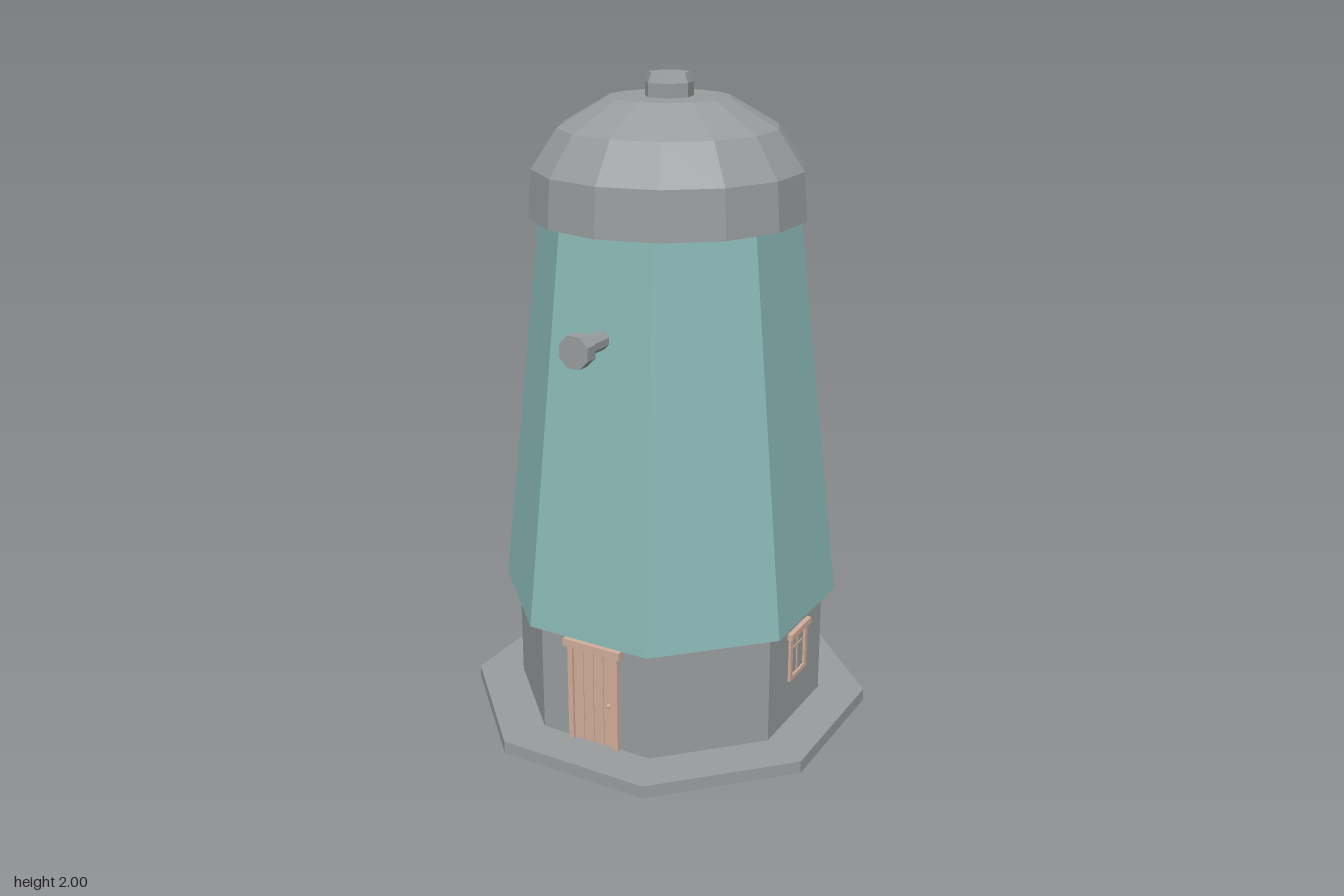
import * as THREE from 'three';

const mat = (name, color) => {
  const m = new THREE.MeshStandardMaterial({ color, flatShading: true });
  m.name = name;
  return m;
};

export function createModel() {
  const stone = mat('grey stone', 0x989c9c);
  const teal = mat('teal cladding', 0x88b7b4);
  const wood = mat('pale wood', 0xd0ad9a);
  const model = new THREE.Group();
  model.name = 'tower';

  const add = (parent, name, geometry, material) => {
    const mesh = new THREE.Mesh(geometry, material);
    mesh.name = name;
    parent.add(mesh);
    return mesh;
  };
  const box = (parent, name, x0, x1, y0, y1, z0, z1) =>
    add(parent, name, new THREE.BoxGeometry(x1 - x0, y1 - y0, z1 - z0)
      .translate((x0 + x1) / 2, (y0 + y1) / 2, (z0 + z1) / 2), wood);
  // Octagonal tier, sized by the distance from the axis to its flats
  const tier = (name, bottom, top, y0, y1, material) => {
    const k = 1 / Math.cos(Math.PI / 8);
    add(model, name, new THREE.CylinderGeometry(top * k, bottom * k, y1 - y0, 8)
      .rotateY(Math.PI / 8).translate(0, (y0 + y1) / 2, 0), material);
  };
  const lathe = (name, profile, sides) =>
    add(model, name, new THREE.LatheGeometry(profile.map(p => new THREE.Vector2(...p)), sides), stone);

  // Tower body
  tier('basePlate', 0.588, 0.588, 0, 0.04, stone);
  tier('stoneWall', 0.452, 0.452, 0.04, 0.4, stone);
  tier('claddedTower', 0.489, 0.361, 0.396, 1.6, teal);

  // Faceted cap and its finial
  lathe('domeCap', [[0, 1.588], [0.415, 1.588], [0.405, 1.73], [0.327, 1.846], [0.18, 1.932], [0, 1.932]], 14);
  lathe('finial', [[0, 1.92], [0.073, 1.92], [0.073, 1.972], [0.061, 2], [0, 2]], 7).rotation.y = Math.PI;

  // Axle stub with hub on the front
  const rod = (name, radius, z0, z1) =>
    add(model, name, new THREE.CylinderGeometry(radius, radius, z1 - z0, 8)
      .rotateY(Math.PI / 8).rotateX(Math.PI / 2).translate(0.005, 1.298, (z0 + z1) / 2), stone);
  rod('axle', 0.027, 0.36, 0.51);
  rod('hub', 0.05, 0.497, 0.537);

  // Door: jambs, lintel, planks and handle
  const door = new THREE.Group();
  door.name = 'door';
  model.add(door);
  for (const s of [-1, 1]) box(door, 'jamb', s * 0.0785 - 0.0085, s * 0.0785 + 0.0085, 0.04, 0.352, 0.44, 0.466);
  box(door, 'lintel', -0.098, 0.098, 0.352, 0.376, 0.44, 0.473);
  box(door, 'doorPanel', -0.07, 0.07, 0.04, 0.352, 0.44, 0.456);
  for (let i = 0; i < 4; i++) {
    const x = -0.07 + i * 0.035;
    box(door, 'plank', x + 0.001, x + 0.034, 0.043, 0.35, 0.45, 0.459);
  }
  add(door, 'handle', new THREE.SphereGeometry(0.008, 6, 4).translate(0.055, 0.185, 0.463), wood);

  // A framed window on each side wall
  for (const s of [-1, 1]) {
    const win = new THREE.Group();
    win.name = s > 0 ? 'leftWindow' : 'rightWindow';
    for (const e of [-1, 1]) box(win, 'frameSide', e * 0.053 - 0.008, e * 0.053 + 0.008, 0.177, 0.325, -0.012, 0.008);
    box(win, 'windowLintel', -0.071, 0.071, 0.324, 0.344, -0.012, 0.016);
    box(win, 'sill', -0.061, 0.061, 0.177, 0.19, -0.012, 0.008);
    box(win, 'uprightBar', -0.003, 0.003, 0.19, 0.324, -0.012, 0.003);
    box(win, 'crossBar', -0.045, 0.045, 0.277, 0.284, -0.012, 0.003);
    win.rotation.y = s * Math.PI / 2;
    win.position.set(s * 0.452, 0, -0.008);
    model.add(win);
  }
  return model;
}
